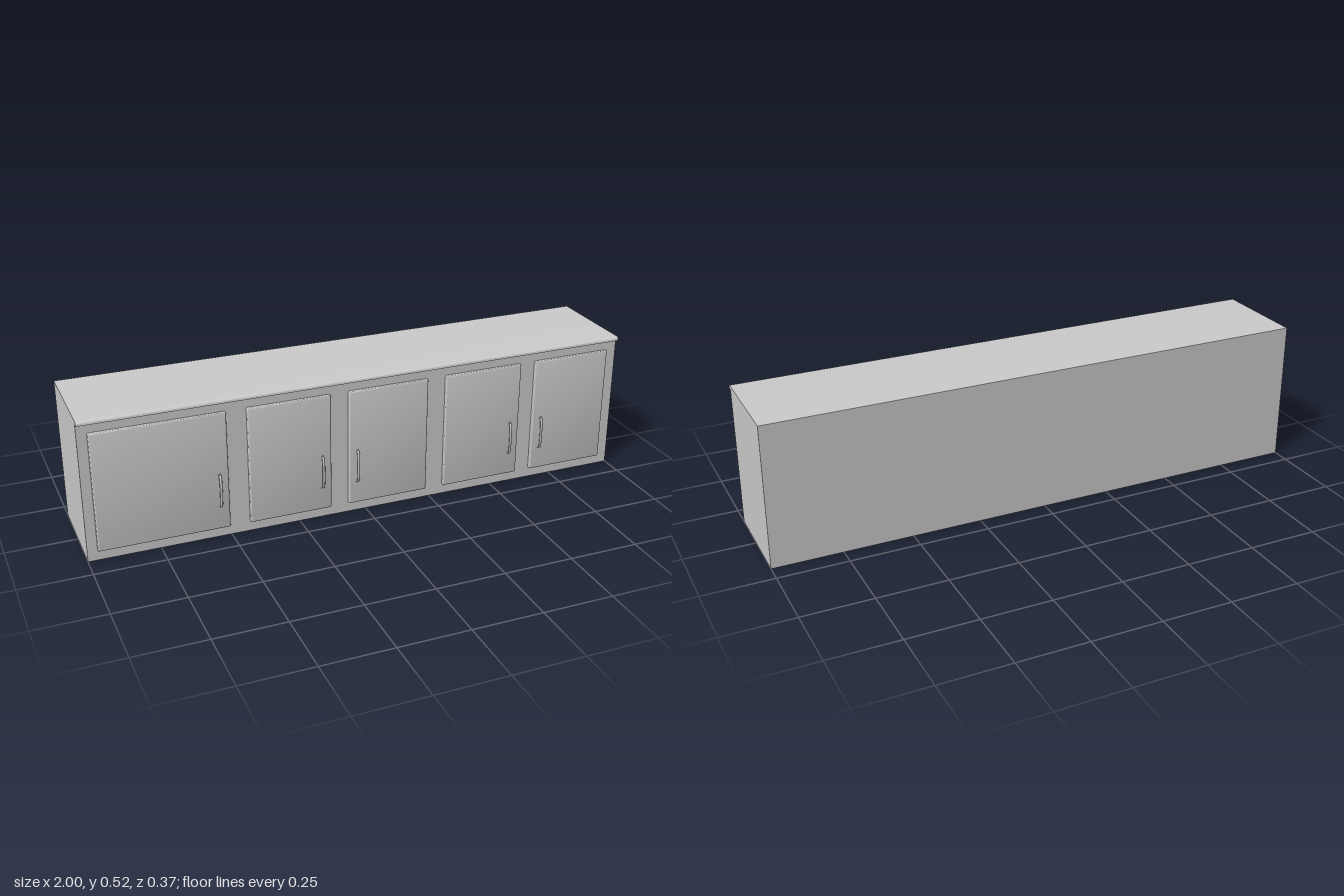
import * as THREE from 'three';
import { toCreasedNormals } from 'three/addons/utils/BufferGeometryUtils.js';

const material = new THREE.MeshStandardMaterial({ color: 0xcccccc });

function addMesh(parent, name, geometry) {
  const mesh = new THREE.Mesh(geometry, material);
  mesh.name = name;
  parent.add(mesh);
  return mesh;
}

// Door panel with a softly rounded front edge
function doorGeometry(width, height) {
  const w = width / 2, h = height / 2, r = 0.006, bevel = 0.006;
  const shape = new THREE.Shape();
  shape.moveTo(-w + r, -h);
  shape.lineTo(w - r, -h);
  shape.quadraticCurveTo(w, -h, w, -h + r);
  shape.lineTo(w, h - r);
  shape.quadraticCurveTo(w, h, w - r, h);
  shape.lineTo(-w + r, h);
  shape.quadraticCurveTo(-w, h, -w, h - r);
  shape.lineTo(-w, -h + r);
  shape.quadraticCurveTo(-w, -h, -w + r, -h);
  const geometry = new THREE.ExtrudeGeometry(shape, {
    depth: 0.006, bevelThickness: bevel, bevelSize: bevel - 0.001,
    bevelOffset: -bevel + 0.001, bevelSegments: 4, curveSegments: 4,
  });
  return toCreasedNormals(geometry, 0.6);
}

// Bowed pull handle, wider than it is thick
function handleGeometry() {
  const curve = new THREE.CatmullRomCurve3([
    [-0.061, -0.002], [-0.056, 0.005], [-0.042, 0.0085], [0, 0.0102],
    [0.042, 0.0085], [0.056, 0.005], [0.061, -0.002],
  ].map(([y, z]) => new THREE.Vector3(0, y, z)));
  return new THREE.TubeGeometry(curve, 32, 0.0018, 10).scale(2.8, 1, 1);
}

export function createModel() {
  const group = new THREE.Group();
  group.name = 'baseCabinet';

  // Carcass
  addMesh(group, 'carcass', new THREE.BoxGeometry(2, 0.502, 0.35)).position.set(0, 0.251, -0.011);

  // Worktop: side profile (z, y) with a rounded nose, swept along x
  const profile = new THREE.Shape();
  profile.moveTo(-0.186, 0.502);
  profile.lineTo(0.164, 0.502);
  profile.lineTo(0.18, 0.502);
  profile.quadraticCurveTo(0.1805, 0.516, 0.168, 0.516);
  profile.lineTo(-0.186, 0.516);
  profile.closePath();
  const worktop = new THREE.ExtrudeGeometry(profile, { depth: 2, bevelEnabled: false, curveSegments: 8 });
  worktop.rotateY(-Math.PI / 2).scale(1, 1, 1).translate(1, 0, 0);
  addMesh(group, 'worktop', toCreasedNormals(worktop, 0.6));

  // Doors and handles: [left edge, right edge, handle x]
  const bottom = 0.035, top = 0.467;
  const doors = [
    [-0.965, -0.505, -0.537],
    [-0.433, -0.133, -0.166],
    [-0.067, 0.233, -0.035],
    [0.302, 0.602, 0.567],
    [0.66, 0.96, 0.695],
  ];
  const handle = handleGeometry();
  doors.forEach(([x0, x1, hx], i) => {
    const unit = new THREE.Group();
    unit.name = `doorUnit${i + 1}`;
    group.add(unit);
    addMesh(unit, 'door', doorGeometry(x1 - x0, top - bottom))
      .position.set((x0 + x1) / 2, (top + bottom) / 2, 0.163);
    addMesh(unit, 'handle', handle).position.set(hx, 0.179, 0.175);

    // Mounting feet where the handle meets the door
    for (const s of [-1, 1]) {
      const foot = addMesh(unit, 'handleFoot', new THREE.CylinderGeometry(0.005, 0.006, 0.003, 16));
      foot.rotation.x = Math.PI / 2;
      foot.position.set(hx, 0.179 + s * 0.06, 0.1755);
    }
  });

  return group;
}
